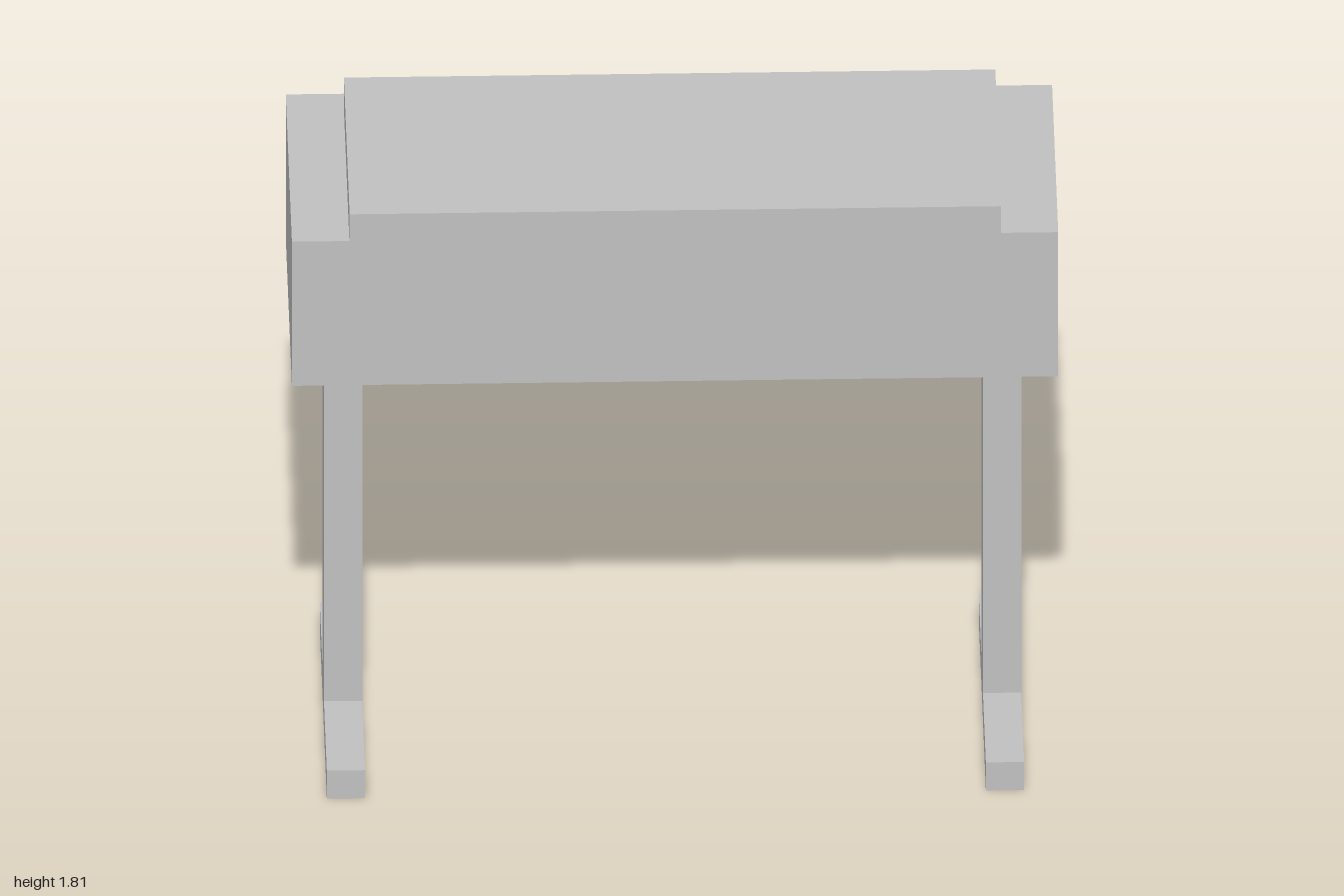
import * as THREE from 'three';

export function createModel() {
  const model = new THREE.Group();
  const grey = new THREE.MeshStandardMaterial({ color: 0xc0c0c0 });
  grey.name = 'light grey';

  // Box given by its lowest and highest corners
  const addBox = (name, [x0, y0, z0], [x1, y1, z1]) => {
    const mesh = new THREE.Mesh(new THREE.BoxGeometry(x1 - x0, y1 - y0, z1 - z0), grey);
    mesh.position.set((x0 + x1) / 2, (y0 + y1) / 2, (z0 + z1) / 2);
    mesh.name = name;
    model.add(mesh);
  };

  // Main case and the raised lid that overhangs its front
  addBox('case', [-1, 1.257, -0.35], [1, 1.707, 0.35]);
  addBox('lid', [-0.85, 1.5, -0.27], [0.85, 1.81, 0.38]);

  // T-shaped stand at each end
  for (const [side, x] of [['left', 0.86], ['right', -0.86]]) {
    addBox(side + 'Post', [x - 0.05, 0.087, -0.07], [x + 0.05, 1.257, 0.07]);
    addBox(side + 'Foot', [x - 0.05, 0, -0.4], [x + 0.05, 0.087, 0.4]);
  }
  return model;
}
